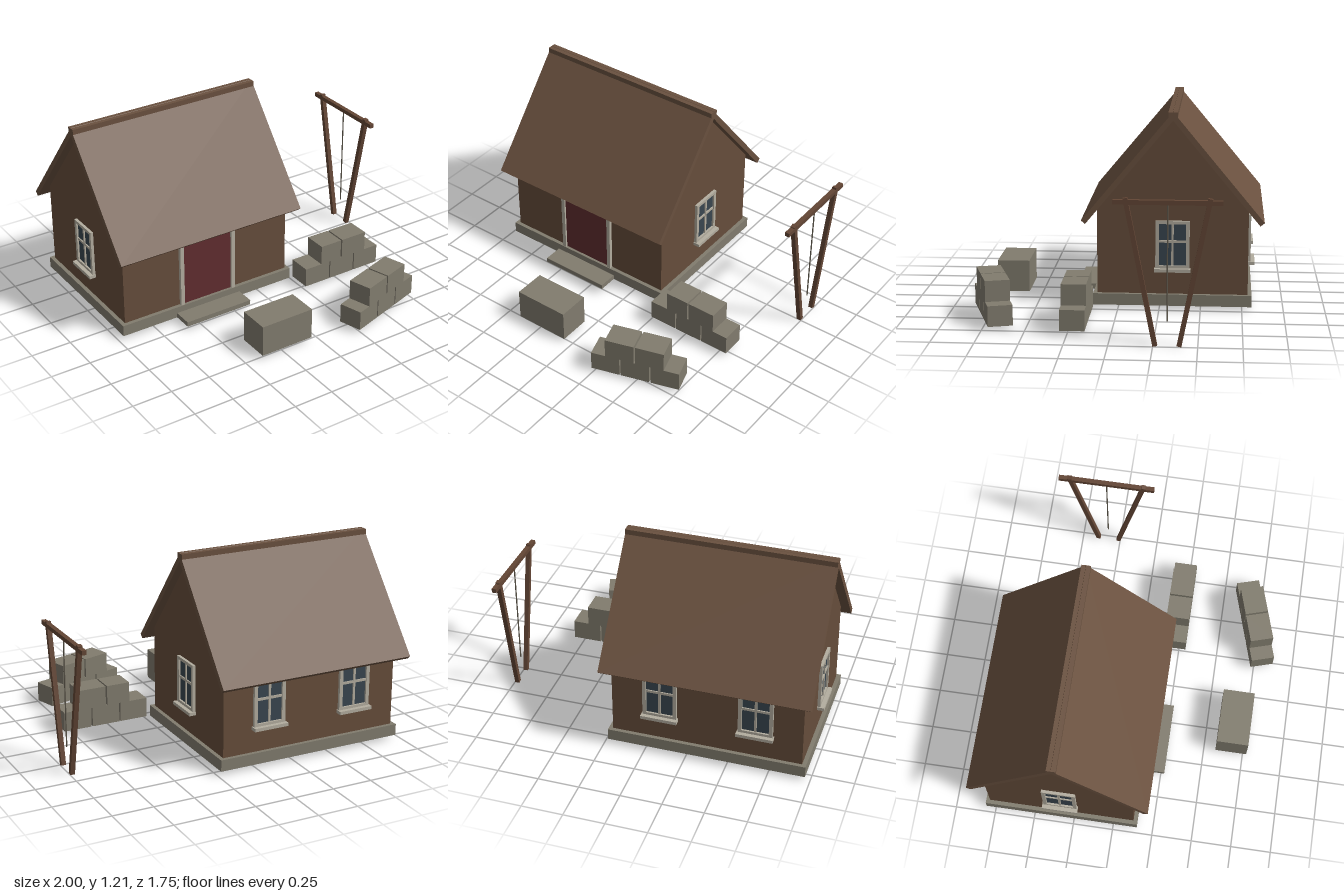
import * as THREE from 'three';

const mat = (name, color, side = THREE.FrontSide) => {
  const m = new THREE.MeshStandardMaterial({ color, side });
  m.name = name;
  return m;
};

export function createModel() {
  const roofMat = mat('roof brown', 0x6a513f);
  const wallMat = mat('wall brown', 0x664d3b);
  const stone = mat('stone grey', 0x817c6e);
  const trim = mat('pale trim', 0xb3ad9f);
  const doorMat = mat('door red', 0x602d2f);
  const glass = mat('window glass', 0x394650);
  const wood = mat('pole wood', 0x634635);
  const ropeMat = mat('rope grey', 0x625c50);

  const model = new THREE.Group();
  model.name = 'cottageYard';

  // Box given by its minimum and maximum corners
  const box = (parent, name, material, x0, x1, y0, y1, z0, z1) => {
    const mesh = new THREE.Mesh(new THREE.BoxGeometry(x1 - x0, y1 - y0, z1 - z0), material);
    mesh.position.set((x0 + x1) / 2, (y0 + y1) / 2, (z0 + z1) / 2);
    mesh.name = name;
    parent.add(mesh);
    return mesh;
  };

  // Gable cross-section (z, y) swept along x
  const zc = -0.329;
  const sweep = (name, material, points, x0, x1) => {
    const shape = new THREE.Shape(points.map(([x, y]) => new THREE.Vector2(x, y)));
    const geo = new THREE.ExtrudeGeometry(shape, { depth: x1 - x0, bevelEnabled: false });
    geo.rotateY(Math.PI / 2);
    const mesh = new THREE.Mesh(geo, material);
    mesh.position.set(x0, 0, zc);
    mesh.name = name;
    model.add(mesh);
  };

  // House body
  box(model, 'foundation', stone, -0.97, 0.23, 0.025, 0.095, -0.808, 0.15);
  sweep('walls', wallMat,
    [[-0.455, 0.095], [0.455, 0.095], [0.455, 0.612], [0, 1.158], [-0.455, 0.612]], -0.945, 0.205);
  sweep('roof', roofMat,
    [[-0.549, 0.55], [-0.524, 0.529], [0, 1.158], [0.524, 0.529], [0.549, 0.55], [0, 1.21]], -1, 0.255);
  box(model, 'ridgeCap', roofMat, -1, 0.255, 1.165, 1.208, zc - 0.028, zc + 0.028);

  // Door with its frame and step
  const door = new THREE.Group();
  door.name = 'door';
  model.add(door);
  box(door, 'doorPanel', doorMat, -0.54, -0.205, 0.097, 0.575, 0.126, 0.135);
  box(door, 'leftPost', trim, -0.205, -0.18, 0.095, 0.6, 0.12, 0.147);
  box(door, 'rightPost', trim, -0.565, -0.54, 0.095, 0.6, 0.12, 0.147);
  box(door, 'lintel', trim, -0.54, -0.205, 0.575, 0.6, 0.12, 0.147);
  box(model, 'doorStep', stone, -0.6, -0.15, 0.025, 0.055, 0.15, 0.272);

  // Four-pane windows, built facing +z on the wall plane
  const addWindow = (name, x, z, turn) => {
    const g = new THREE.Group();
    g.name = name;
    const w = 0.103, t = 0.022;
    box(g, 'panes', glass, -w + t, w - t, 0.27, 0.53, 0, 0.006);
    for (const s of [-1, 1]) {
      box(g, 'sideFrame', trim, s < 0 ? -w : w - t, s < 0 ? -w + t : w, 0.255, 0.547, -0.005, 0.018);
    }
    box(g, 'topFrame', trim, -w + t, w - t, 0.528, 0.547, -0.005, 0.018);
    box(g, 'bottomFrame', trim, -w + t, w - t, 0.255, 0.272, -0.005, 0.018);
    box(g, 'uprightBar', trim, -0.007, 0.007, 0.272, 0.528, 0, 0.014);
    box(g, 'crossBar', trim, -w + t, w - t, 0.413, 0.428, 0, 0.013);
    box(g, 'sill', trim, -0.11, 0.11, 0.236, 0.256, -0.005, 0.043);
    g.position.set(x, 0, z);
    g.rotation.y = turn;
    model.add(g);
  };
  addWindow('leftWindow', 0.205, zc, Math.PI / 2);
  addWindow('rightWindow', -0.945, zc, -Math.PI / 2);
  addWindow('backWindowLeft', -0.09, -0.784, Math.PI);
  addWindow('backWindowRight', -0.665, -0.784, Math.PI);

  // Stone trough in front of the door
  box(model, 'stoneTrough', stone, -0.396, -0.048, 0.025, 0.222, 0.575, 0.773);

  // Low stacked-block walls: three blocks below, two on top
  const blockWall = (name, x, z, turn, length, upper) => {
    const g = new THREE.Group();
    g.name = name;
    const gap = 0.008, w = (length - 2 * gap) / 3;
    for (let i = 0; i < 3; i++) {
      const x0 = -length / 2 + i * (w + gap);
      box(g, 'lowerBlock', stone, x0, x0 + w, 0.025, 0.148, -0.073, 0.073);
    }
    for (const [a, b] of upper) {
      box(g, 'upperBlock', stone, a - length / 2, b - length / 2, 0.148, 0.273, -0.073, 0.073);
    }
    g.position.set(x, 0, z);
    g.rotation.y = turn;
    model.add(g);
  };
  blockWall('backBlockWall', 0.531, 0.22, 0, 0.553, [[0.117, 0.266], [0.276, 0.454]]);
  blockWall('frontBlockWall', 0.479, 0.72, 17 * Math.PI / 180, 0.547, [[0.088, 0.266], [0.276, 0.452]]);

  // Well hoist: two leaning poles, a beam and a hanging rope
  const hoist = new THREE.Group();
  hoist.name = 'hoist';
  model.add(hoist);
  box(hoist, 'beam', wood, 0.971, 0.999, 0.802, 0.828, zc - 0.302, zc + 0.302);
  for (const s of [-1, 1]) {
    const top = new THREE.Vector3(0.985, 0.838, zc + s * 0.234);
    const foot = new THREE.Vector3(0.985, 0.003, zc + s * 0.067);
    const pole = new THREE.Mesh(new THREE.BoxGeometry(0.028, top.distanceTo(foot), 0.027), wood);
    pole.position.copy(top).add(foot).multiplyScalar(0.5);
    pole.rotation.x = Math.atan2(top.z - foot.z, top.y - foot.y);
    pole.name = 'pole';
    hoist.add(pole);
  }
  const rope = new THREE.Mesh(new THREE.CylinderGeometry(0.004, 0.004, 0.66, 6), ropeMat);
  rope.position.set(0.985, 0.475, zc);
  rope.name = 'rope';
  hoist.add(rope);

  return model;
}
